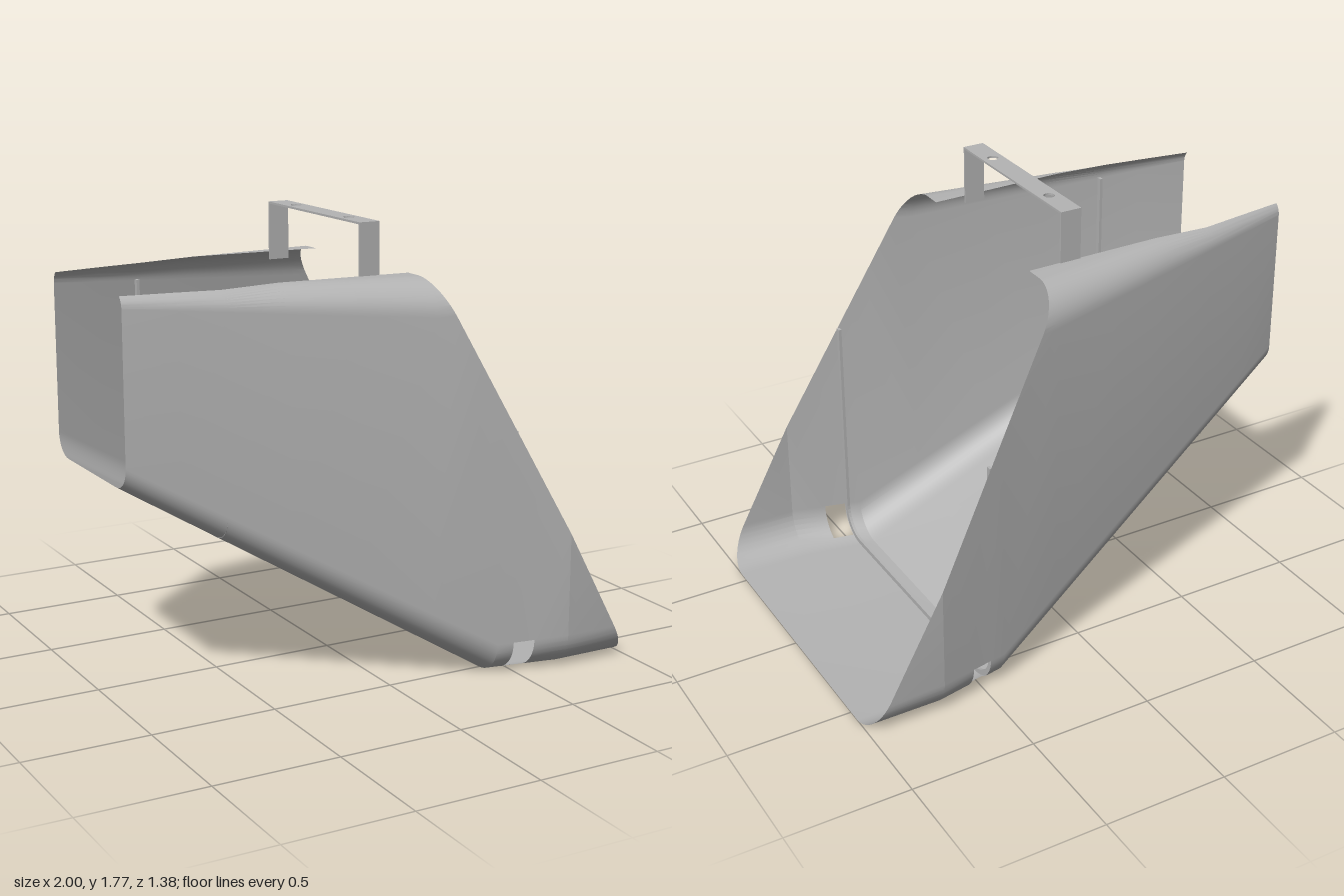
import * as THREE from 'three';
import { toCreasedNormals } from 'three/addons/utils/BufferGeometryUtils.js';

const SEG = 10;           // steps per rounded corner
const SLOPE = 1.847;      // slant of the mouth
const mouth = (x) => 1.57 - (x - 0.15) * SLOPE;   // height of the mouth edge at x
const lerp = THREE.MathUtils.lerp;

// Half of the cross-section at x as [z, y], from the floor up to the slot edge
function halfSection(x, inset = 0) {
  const hw = lerp(0.325, 0.69, Math.min((x + 1) / 1.7, 1)) - inset;
  const bottom = Math.max(0, (0.41 - x) * 0.61) + inset;
  const top = lerp(1.585, 1.572, (x + 1) / 1.15);
  const slot = x < -0.63 ? lerp(0.305, 0.36, (x + 1) / 0.37) : 0.36;
  const rb = lerp(0.09, 0.14, Math.min((x + 1) / 1.7, 1)) - inset;
  const rt = lerp(0.06, 0.14, Math.min((x + 1) / 1.15, 1));
  const pts = [];
  for (let i = 0; i <= SEG; i++) {
    const a = (i / SEG) * Math.PI / 2;
    pts.push([hw - rb + rb * Math.sin(a), bottom + rb - rb * Math.cos(a)]);
  }
  const reach = (slot - (hw - rt)) / rt;
  const end = Math.acos(THREE.MathUtils.clamp(reach, 0, 1));
  for (let i = 0; i <= SEG; i++) {
    const a = (i / SEG) * end;
    pts.push([hw - rt + rt * Math.cos(a), top - rt + rt * Math.sin(a)]);
  }
  pts.push([slot, pts[pts.length - 1][1]]);
  return pts;
}

const mirrored = (half) => [...half.map(([z, y]) => [-z, y]).reverse(), ...half];

// Cut a polygon along the slanted mouth plane
function clipToMouth(poly) {
  const out = [];
  const dist = (p) => mouth(p.x) - p.y;
  poly.forEach((p, i) => {
    const q = poly[(i + 1) % poly.length];
    const a = dist(p), b = dist(q);
    if (a >= -1e-6) out.push(p);
    if ((a > 1e-6 && b < -1e-6) || (a < -1e-6 && b > 1e-6)) out.push(p.clone().lerp(q, a / (a - b)));
  });
  return out;
}

// Folded sheet shell, with a notch through each lower corner
function shellGeometry() {
  const xs = [-1, -0.8, -0.63, -0.4, -0.15, 0.15, 0.41, 0.475, 0.56, 0.7, 1];
  const rings = xs.map((x) => mirrored(halfSection(x)).map(([z, y]) => new THREE.Vector3(x, y, z)));
  const mid = rings[0].length / 2;
  const pos = [];
  for (let c = 0; c < xs.length - 1; c++) {
    for (let i = 0; i < rings[0].length - 1; i++) {
      const k = i >= mid ? i - mid : mid - 2 - i;
      if (xs[c] === 0.475 && k >= 3 && k < SEG) continue;
      const A = rings[c], B = rings[c + 1];
      for (const tri of [[A[i], B[i], B[i + 1]], [A[i], B[i + 1], A[i + 1]]]) {
        const poly = clipToMouth(tri);
        for (let n = 1; n < poly.length - 1; n++) {
          for (const p of [poly[0], poly[n + 1], poly[n]]) pos.push(p.x, p.y, p.z);
        }
      }
    }
  }
  const geo = new THREE.BufferGeometry();
  geo.setAttribute('position', new THREE.Float32BufferAttribute(pos, 3));
  return toCreasedNormals(geo, 0.2);
}

// U-shaped inner rib at x, reaching up to the given height
function ribGeometry(x, height) {
  const arm = (inset) => {
    const corner = halfSection(x, inset).slice(0, SEG + 1);
    return mirrored([...corner, [corner[SEG][0], height]]);
  };
  const outline = [...arm(0.002), ...arm(0.022).reverse()];
  const shape = new THREE.Shape(outline.map(([z, y]) => new THREE.Vector2(z, y)));
  const geo = new THREE.ExtrudeGeometry(shape, { depth: 0.012, bevelEnabled: false });
  geo.rotateY(-Math.PI / 2).translate(x + 0.006, 0, 0);
  return geo;
}

export function createModel() {
  const model = new THREE.Group();
  const steel = new THREE.MeshStandardMaterial({ color: 0xb4b4b4, side: THREE.DoubleSide });
  steel.name = 'greySteel';
  const add = (name, geo, parent = model) => {
    const mesh = new THREE.Mesh(geo, steel);
    mesh.name = name;
    parent.add(mesh);
    return mesh;
  };

  add('scoopShell', shellGeometry());
  add('rearRib', ribGeometry(-0.63, 1.5));
  add('frontRib', ribGeometry(0.468, 0.98));

  // Bracket strap with two bolt holes, on two legs
  const bracket = new THREE.Group();
  bracket.name = 'bracket';
  model.add(bracket);
  const strap = new THREE.Shape([[-0.065, -0.365], [0.02, -0.365], [0.02, 0.365], [-0.065, 0.365]]
    .map(([x, z]) => new THREE.Vector2(x, z)));
  for (const s of [-1, 1]) {
    strap.holes.push(new THREE.Path().absarc(-0.0225, s * 0.21, 0.021, 0, Math.PI * 2, true));
    const leg = add(s > 0 ? 'leftLeg' : 'rightLeg', new THREE.BoxGeometry(0.085, 0.225, 0.008), bracket);
    leg.position.set(-0.0225, 1.655, s * 0.361);
  }
  const strapGeo = new THREE.ExtrudeGeometry(strap, { depth: 0.008, bevelEnabled: false, curveSegments: 16 });
  add('strap', strapGeo.rotateX(-Math.PI / 2).translate(0, 1.767, 0), bracket);

  return model;
}
